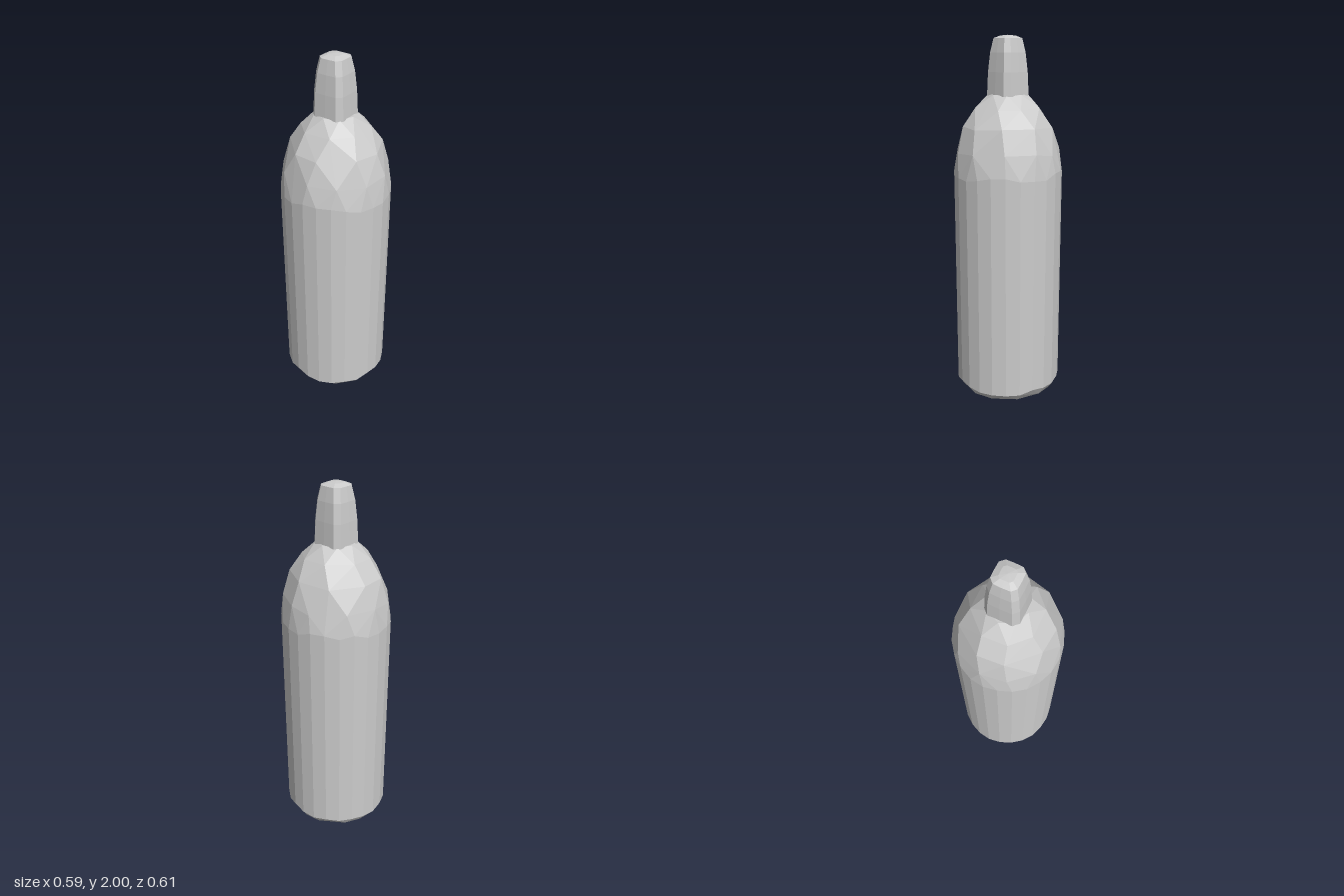
import * as THREE from 'three';
import { ConvexGeometry } from 'three/addons/geometries/ConvexGeometry.js';

const material = new THREE.MeshStandardMaterial({ color: 0xcccccc, flatShading: true });

// Small repeatable wobble that makes the facets irregular
let seed = 7;
const wobble = () => {
  seed = (seed * 16807) % 2147483647;
  return seed / 2147483647 - 0.5;
};

// Ring of points: height, radius, number of points, wobble in angle and height
function ring(y, r, n, turn = 0, jitter = 0, lift = 0) {
  return Array.from({ length: n }, (_, i) => {
    const a = ((i + turn + jitter * wobble()) / n) * Math.PI * 2;
    return new THREE.Vector3(0.98 * r * Math.cos(a), y + lift * wobble(), r * Math.sin(a));
  });
}

// Square ring with cut corners: s is the half width, k the flat part of each side
function squareRing(y, s, k) {
  const points = [];
  for (const sx of [-1, 1]) for (const sz of [-1, 1]) {
    points.push(new THREE.Vector3(sx * s, y, sz * s * k));
    points.push(new THREE.Vector3(sx * s * k, y, sz * s));
    // slight outward bow in the middle of the sides
    points.push(new THREE.Vector3(sx * s * 1.02, y, 0), new THREE.Vector3(0, y, sz * s * 1.02));
  }
  return points;
}

function part(name, points) {
  const mesh = new THREE.Mesh(new ConvexGeometry(points), material);
  mesh.name = name;
  return mesh;
}

export function createModel() {
  seed = 7;
  const group = new THREE.Group();
  group.name = 'bottle';

  // Straight body with a chipped foot and a faceted domed shoulder
  group.add(part('body', [
    ...ring(0, 0.272, 13, 0.2, 0.3),
    ...ring(0.045, 0.303, 24, 0, 0, 0.03),
    ...ring(1.27, 0.303, 24, 0, 0, 0.04),
    ...ring(1.39, 0.289, 11, 0.5, 0.3, 0.02),
    ...ring(1.52, 0.25, 9, 0.1, 0.3, 0.02),
    ...ring(1.62, 0.185, 8, 0.4, 0.3, 0.01),
    ...ring(1.692, 0.108, 8, 0),
  ]));

  // Tapered neck with a rounded square section and a low crowned top
  group.add(part('neck', [
    ...squareRing(1.685, 0.093, 0.7),
    ...squareRing(1.81, 0.088, 0.7),
    ...squareRing(1.91, 0.079, 0.68),
    ...squareRing(1.983, 0.065, 0.65),
    ...squareRing(1.996, 0.035, 0.65),
    new THREE.Vector3(0, 2, 0),
  ]));

  return group;
}
